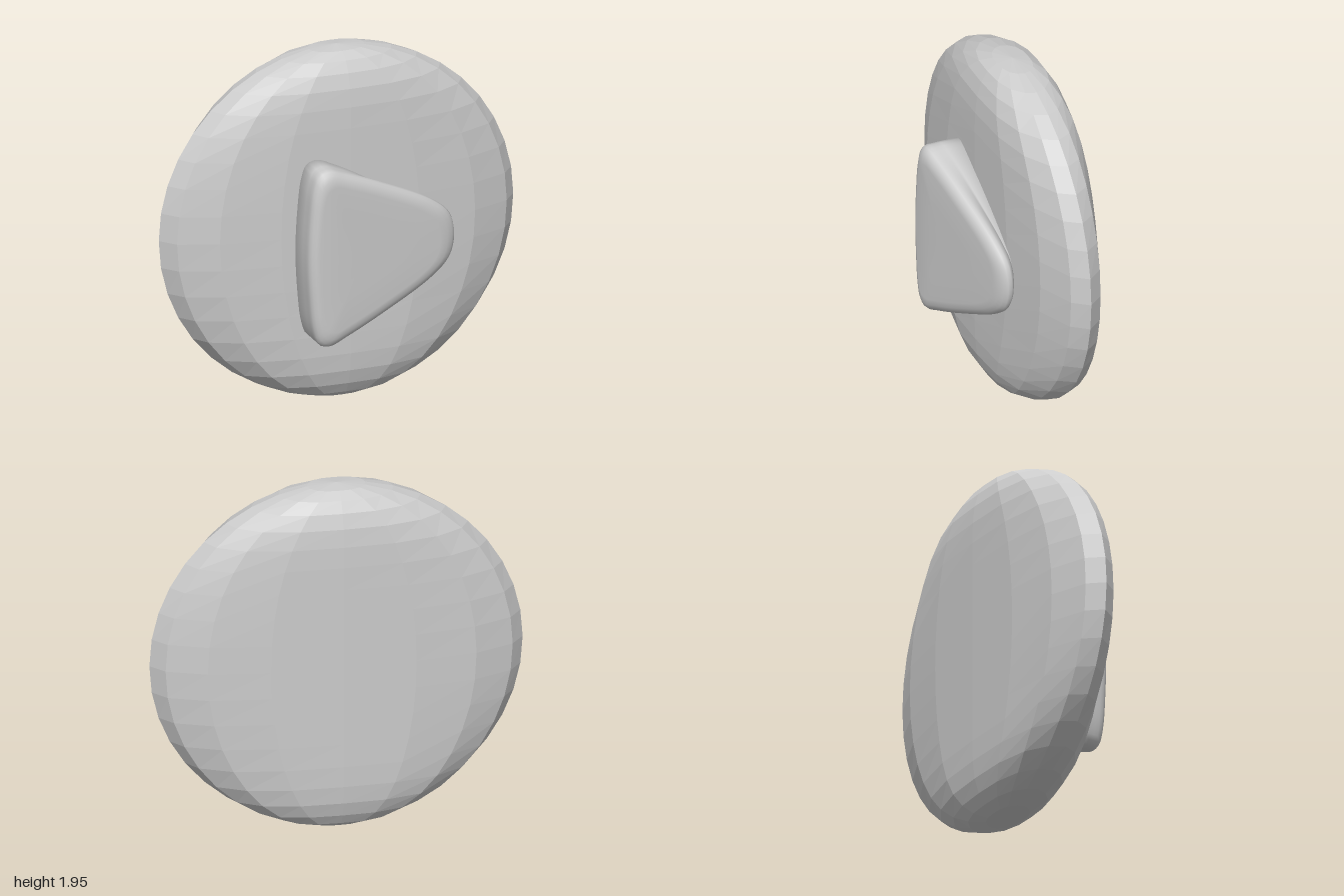
import * as THREE from 'three';
import { mergeVertices } from 'three/addons/utils/BufferGeometryUtils.js';

// Skin a stack of closed loops (arrays of Vector3 of equal length); collapsed loops act as poles.
function loft(loops) {
  const n = loops[0].length;
  const index = [];
  for (let i = 0; i < loops.length - 1; i++) {
    for (let j = 0; j < n; j++) {
      const k = (j + 1) % n;
      const a = i * n + j, b = i * n + k, c = a + n, d = b + n;
      index.push(a, c, b, b, c, d);
    }
  }
  const geometry = new THREE.BufferGeometry().setFromPoints(loops.flat());
  geometry.setIndex(index);
  const merged = mergeVertices(geometry, 1e-5);
  merged.computeVertexNormals();
  return merged;
}

// Round disc: lens-shaped slices in plan, stadium-shaped from the side.
function discGeometry() {
  const R = 0.975, steps = 20;
  const edge = [0, 0.09, 0.145, 0.18, 0.205, 0.216]; // half thickness near top and bottom
  const quarter = [[0, 0.22], [0.39, 0.212], [0.72, 0.168], [0.93, 0.086], [1, 0]];
  const slice = [];
  for (let j = 0; j < 16; j++) {
    const q = Math.floor(j / 4), m = j % 4;
    const [x, z] = quarter[q % 2 ? 4 - m : m];
    slice.push([q < 2 ? x : -x, (q === 0 || q === 3 ? z : -z) / 0.22]);
  }
  const loops = [];
  for (let i = 0; i <= steps; i++) {
    const a = (i / steps) * Math.PI;
    const half = edge[Math.min(i, steps - i)] ?? 0.219;
    const width = i % steps ? Math.sin(a) : 0;
    loops.push(slice.map(([x, z]) =>
      new THREE.Vector3(x * width, 0.982 + R * Math.cos(a), -0.112 + z * half)));
  }
  return loft(loops);
}

// Rounded triangle whose front face slopes down towards its pointed end.
function triangleGeometry() {
  const cx = 0, cy = 0.91;
  const upper = [[0.535, 0.12], [0.43, 0.215], [0.12, 0.37], [-0.1, 0.462],
    [-0.195, 0.494], [-0.25, 0.475], [-0.28, 0.4], [-0.302, 0.22]];
  const points = [[0.565, 0], ...upper, [-0.312, 0],
    ...upper.slice().reverse().map(([x, y]) => [x, -y])];
  const curve = new THREE.CatmullRomCurve3(
    points.map(([x, y]) => new THREE.Vector3(x, y, 0)), true, 'centripetal');
  const outline = curve.getSpacedPoints(96).slice(0, 96);
  const frontZ = x => 0.327 - 0.168 * Math.max(0, x + 0.2);

  // scale of the outline, drop behind the front face, tuck-under at the pointed end
  const rings = [[0, 0, 0], [0.45, 0, 0], [0.82, 0, 0], [0.9, 0.006, 0], [0.955, 0.018, 0],
    [0.988, 0.034, 0], [1, 0.052, 0], [1, 0.075, 0.04], [1, 0.1, 0.11], [1, 0.12, 0.2]];
  const loops = rings.map(([s, drop, tuck]) => outline.map(p => {
    const t = THREE.MathUtils.smoothstep(p.x, -0.2, 0.55);
    const k = s - tuck * t;
    return new THREE.Vector3(cx + p.x * k, cy + p.y * k, frontZ(p.x * k) - drop);
  }));
  // root buried in the disc
  const last = loops[loops.length - 1];
  loops.push(last.map(p => new THREE.Vector3(p.x, p.y, 0)));
  loops.push(last.map(() => new THREE.Vector3(cx, cy, 0)));
  return loft(loops);
}

export function createModel() {
  const group = new THREE.Group();
  const add = (name, geometry, flatShading) => {
    const mesh = new THREE.Mesh(geometry,
      new THREE.MeshStandardMaterial({ color: 0xcccccc, flatShading }));
    mesh.name = name;
    group.add(mesh);
  };
  add('disc', discGeometry(), true);
  add('raisedTriangle', triangleGeometry(), false);
  return group;
}
